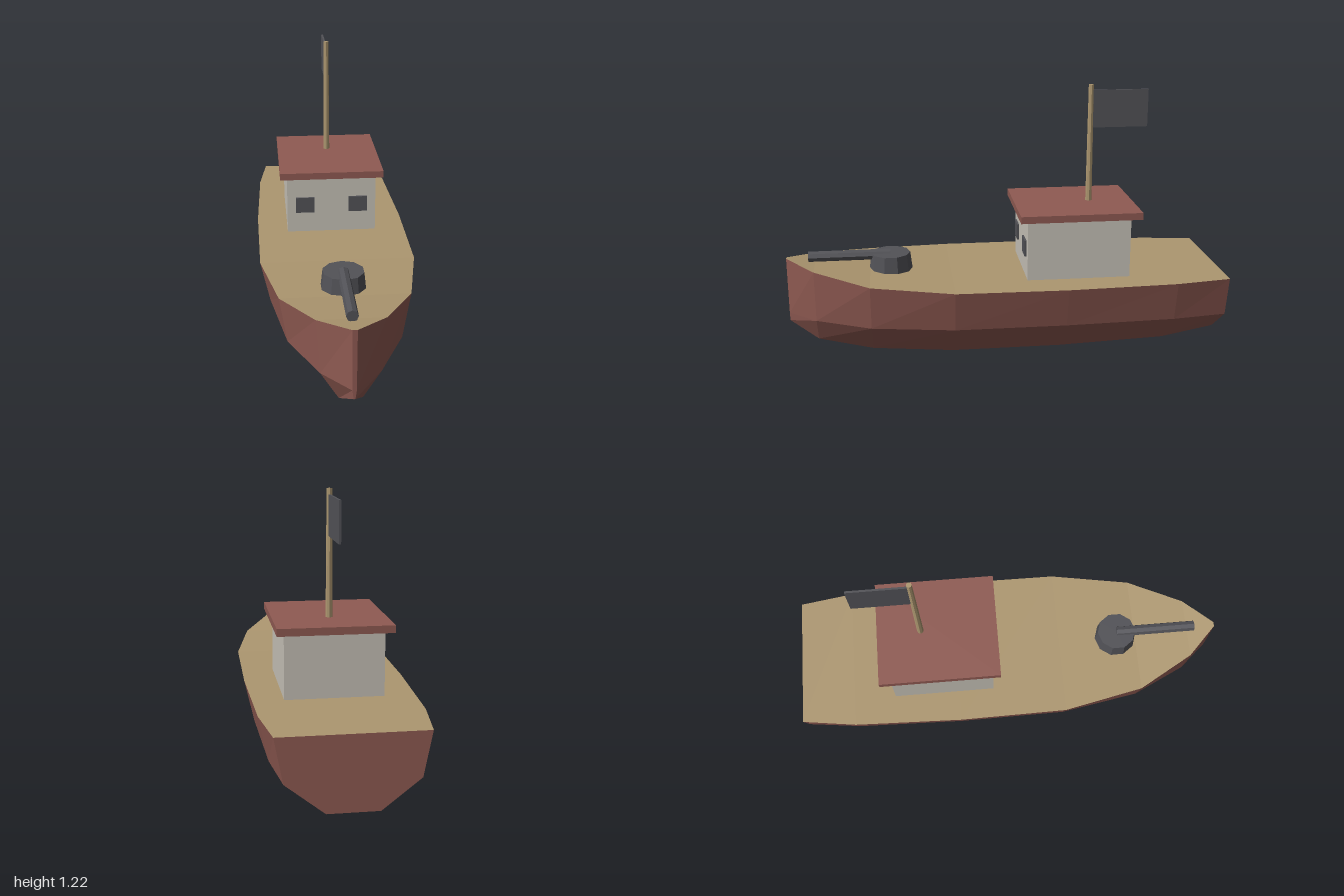
import * as THREE from 'three';

const mat = (name, color) => {
  const m = new THREE.MeshStandardMaterial({ color, flatShading: true });
  m.name = name;
  return m;
};

// Hull stations: z, deck half width, deck height, keel height
const STATIONS = [
  [-1, 0.30, 0.365, 0.055],
  [-0.75, 0.335, 0.365, 0.015],
  [-0.25, 0.352, 0.365, 0],
  [0.25, 0.347, 0.368, 0],
  [0.62, 0.275, 0.385, 0.02],
  [0.87, 0.14, 0.42, 0.06],
  [1, 0.01, 0.445, 0.14],
];
const CHINE_Y = 0.18;

// Cross-section from the left deck edge, round the keel, to the right deck edge
function section([z, w, deckY, keelY]) {
  const half = [[w, deckY], [w * 0.88, CHINE_Y], [w * 0.35, keelY]];
  const other = half.map(([x, y]) => [-x, y]).reverse();
  return [...half, ...other].map(([x, y]) => [x, y, z]);
}

function facesToGeometry(triangles) {
  const g = new THREE.BufferGeometry();
  g.setAttribute('position', new THREE.Float32BufferAttribute(triangles.flat(2), 3));
  g.computeVertexNormals();
  return g;
}

export function createModel() {
  const boat = new THREE.Group();
  boat.name = 'boat';
  const red = mat('hullRed', 0x8f5a52);
  const wood = mat('deckWood', 0xad9770);
  const paint = mat('cabinPaint', 0xc6c1b7);
  const dark = mat('darkMetal', 0x525257);

  const add = (name, geometry, material, x = 0, y = 0, z = 0) => {
    const mesh = new THREE.Mesh(geometry, material);
    mesh.name = name;
    mesh.position.set(x, y, z);
    boat.add(mesh);
    return mesh;
  };

  // Hull shell and deck lofted through the stations
  const rings = STATIONS.map(section);
  const shell = [], deck = [];
  for (let i = 0; i < rings.length - 1; i++) {
    for (let j = 0; j < 6; j++) {
      const k = (j + 1) % 6;
      const a = rings[i][j], b = rings[i][k], c = rings[i + 1][k], d = rings[i + 1][j];
      (j === 5 ? deck : shell).push([a, d, c], [a, c, b]);
    }
  }
  // Transom and stem end faces
  const stern = rings[0], bow = rings[rings.length - 1];
  for (let j = 1; j < 5; j++) {
    shell.push([stern[0], stern[j], stern[j + 1]], [bow[0], bow[j + 1], bow[j]]);
  }
  add('hull', facesToGeometry(shell), red);
  add('deck', facesToGeometry(deck), wood);

  // Cabin, roof and front windows
  add('cabin', new THREE.BoxGeometry(0.42, 0.29, 0.47), paint, 0, 0.5, -0.32);
  add('roof', new THREE.BoxGeometry(0.486, 0.032, 0.55), red, 0, 0.659, -0.325);
  for (const side of [-1, 1]) {
    add(side > 0 ? 'leftWindow' : 'rightWindow',
      new THREE.BoxGeometry(0.088, 0.075, 0.009), dark, side * 0.125, 0.503, -0.081);
  }

  // Mast and flag
  add('mast', new THREE.CylinderGeometry(0.012, 0.015, 0.545, 8), wood, 0, 0.9425, -0.4);
  add('flag', new THREE.BoxGeometry(0.009, 0.172, 0.255), dark, 0, 1.104, -0.5375);

  // Deck gun
  add('gunBase', new THREE.CylinderGeometry(0.09, 0.1, 0.09, 10), dark, 0, 0.41, 0.525);
  const barrel = add('gunBarrel', new THREE.CylinderGeometry(0.025, 0.025, 0.375, 8), dark, 0, 0.447, 0.7125);
  barrel.rotation.x = Math.PI / 2;

  return boat;
}
